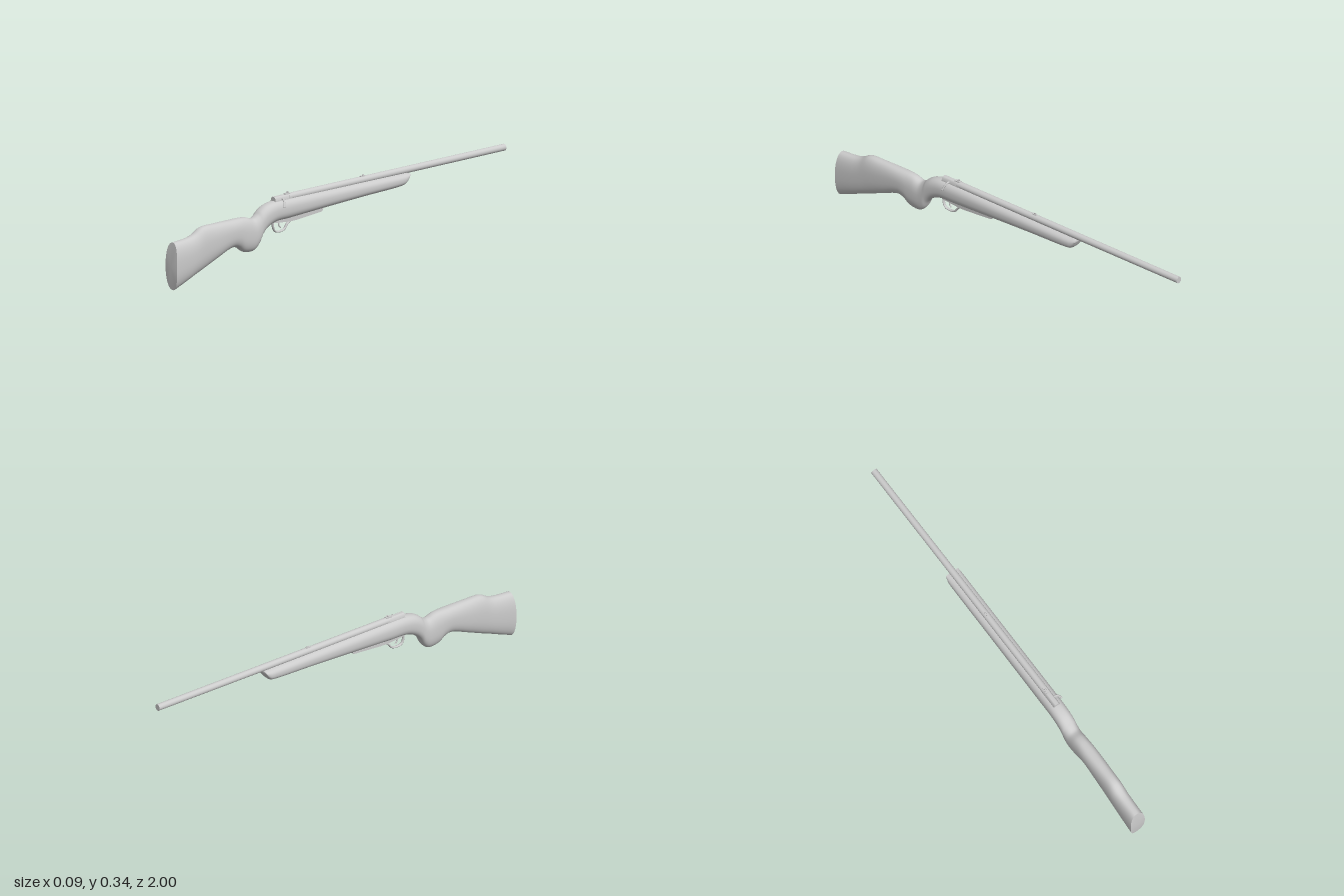
import * as THREE from 'three';

const CX = -0.005; // centre line of the stock and barrel
const material = new THREE.MeshStandardMaterial({ color: 0xcccccc, side: THREE.DoubleSide });

// Stock side profile from butt to nose: z, top, bottom
const PROFILE = [
  [0.992, 0.22, 0.0], [0.9, 0.228, 0.035], [0.865, 0.238, 0.05], [0.82, 0.262, 0.067],
  [0.74, 0.265, 0.1], [0.64, 0.265, 0.137], [0.605, 0.265, 0.129], [0.575, 0.264, 0.107],
  [0.55, 0.26, 0.1], [0.515, 0.249, 0.101], [0.49, 0.26, 0.122], [0.47, 0.278, 0.16],
  [0.44, 0.295, 0.19], [0.39, 0.306, 0.211], [0.3, 0.307, 0.215], [0.1, 0.305, 0.225],
  [-0.15, 0.303, 0.236], [-0.36, 0.301, 0.244], [-0.382, 0.301, 0.249],
  [-0.398, 0.301, 0.265], [-0.41, 0.299, 0.288],
];

const spow = (v, p) => Math.sign(v) * Math.abs(v) ** p;

// Lofts superellipse sections along the profile and closes both ends
function stockGeometry() {
  const rings = 100, sides = 40, power = 2 / 2.4;
  const curve = new THREE.CatmullRomCurve3(PROFILE.map(p => new THREE.Vector3(...p)));
  const pos = [], index = [];
  const addRing = i => {
    const { x: z, y: top, z: bottom } = curve.getPoint(i / rings);
    const mid = (top + bottom) / 2, h = (top - bottom) / 2;
    const nose = THREE.MathUtils.clamp((-0.37 - z) / 0.04, 0, 1);
    const w = 0.039 * (1 - 0.14 * nose * nose);
    const bow = THREE.MathUtils.smoothstep(z, 0.9, 0.99) * 0.008;
    for (let j = 0; j < sides; j++) {
      const a = j / sides * Math.PI * 2, s = spow(Math.sin(a), power);
      pos.push(CX + w * spow(Math.cos(a), power), mid + h * s, z + bow * (0.5 - s * s));
    }
    return mid;
  };
  for (let i = 0; i <= rings; i++) addRing(i);
  for (let i = 0; i < rings; i++) {
    for (let j = 0; j < sides; j++) {
      const k = (j + 1) % sides, a = i * sides + j, b = i * sides + k;
      index.push(a, a + sides, b, b, a + sides, b + sides);
    }
  }
  // Separate cap rings keep the rims sharp
  for (const [i, z] of [[0, 1], [rings, -0.412]]) {
    const start = pos.length / 3, mid = addRing(i), centre = start + sides;
    pos.push(CX, mid, z);
    for (let j = 0; j < sides; j++) {
      const a = start + j, b = start + (j + 1) % sides;
      index.push(centre, ...(i === 0 ? [a, b] : [b, a]));
    }
  }
  const g = new THREE.BufferGeometry();
  g.setAttribute('position', new THREE.Float32BufferAttribute(pos, 3));
  g.setIndex(index);
  g.computeVertexNormals();
  return g;
}

const tube = (points, r, segments = 40) => new THREE.TubeGeometry(
  new THREE.CatmullRomCurve3(points.map(p => new THREE.Vector3(...p))), segments, r, 10);

export function createModel() {
  const model = new THREE.Group();
  const add = (name, geometry, x = 0, y = 0, z = 0, parent = model) => {
    const mesh = new THREE.Mesh(geometry, material);
    mesh.name = name;
    mesh.position.set(x, y, z);
    parent.add(mesh);
    return mesh;
  };

  add('stock', stockGeometry());

  // Barrel runs from the receiver to the muzzle
  const barrel = new THREE.CylinderGeometry(0.0165, 0.0155, 1.3, 32).rotateX(Math.PI / 2);
  add('barrel', barrel, CX, 0.3105, -0.35);

  // Domed receiver
  const dome = new THREE.Shape();
  dome.moveTo(-0.0175, 0.296);
  dome.lineTo(0.0175, 0.296);
  dome.lineTo(0.0165, 0.308);
  dome.quadraticCurveTo(0.013, 0.324, 0.006, 0.325);
  dome.lineTo(-0.006, 0.325);
  dome.quadraticCurveTo(-0.013, 0.324, -0.0165, 0.308);
  dome.closePath();
  add('receiver', new THREE.ExtrudeGeometry(dome, { depth: 0.1, bevelEnabled: false }), CX, 0, 0.285);

  // Curved bolt handle on the left side
  add('boltHandle', tube([[0.004, 0.312, 0.343], [0.018, 0.311, 0.345],
    [0.029, 0.302, 0.349], [0.036, 0.289, 0.354], [0.039, 0.281, 0.357]], 0.0045, 24));
  const knob = add('boltKnob', new THREE.SphereGeometry(0.0048, 16, 12), 0.039, 0.281, 0.357);
  knob.scale.y = 0.9;

  // Notched rear sight and front bead
  const rear = new THREE.Group();
  rear.name = 'rearSight';
  model.add(rear);
  add('rearSightBase', new THREE.BoxGeometry(0.016, 0.006, 0.03), CX, 0.326, 0.302, rear);
  for (const s of [-1, 1])
    add('rearSightPost', new THREE.BoxGeometry(0.003, 0.009, 0.007), CX + s * 0.0035, 0.331, 0.298, rear);
  const front = new THREE.Group();
  front.name = 'frontSight';
  model.add(front);
  add('frontSightBase', new THREE.BoxGeometry(0.01, 0.005, 0.025), CX, 0.3265, -0.15, front);
  add('frontSightPost', new THREE.BoxGeometry(0.003, 0.008, 0.01), CX, 0.33, -0.153, front);

  // Trigger guard loop, widened across the stock
  const guard = add('triggerGuard', tube([[0, 0.217, 0.388], [0, 0.185, 0.386], [0, 0.165, 0.375],
    [0, 0.159, 0.345], [0, 0.167, 0.318], [0, 0.187, 0.302], [0, 0.2, 0.28], [0, 0.205, 0.25]], 0.0045), CX);
  guard.scale.x = 1.6;
  add('trigger', tube([[0, 0.218, 0.345], [0, 0.2, 0.352], [0, 0.186, 0.35], [0, 0.176, 0.341]], 0.0035, 20), CX);

  // Tapered floor plate under the stock
  const plate = new THREE.Shape([[-0.39, 0.206], [-0.29, 0.197], [-0.25, 0.198], [-0.1, 0.21],
    [-0.09, 0.23], [-0.39, 0.222]].map(p => new THREE.Vector2(...p)));
  const plateGeometry = new THREE.ExtrudeGeometry(plate, { depth: 0.02, bevelEnabled: false })
    .translate(0, 0, -0.01).rotateY(Math.PI / 2);
  add('floorPlate', plateGeometry, CX);

  return model;
}
